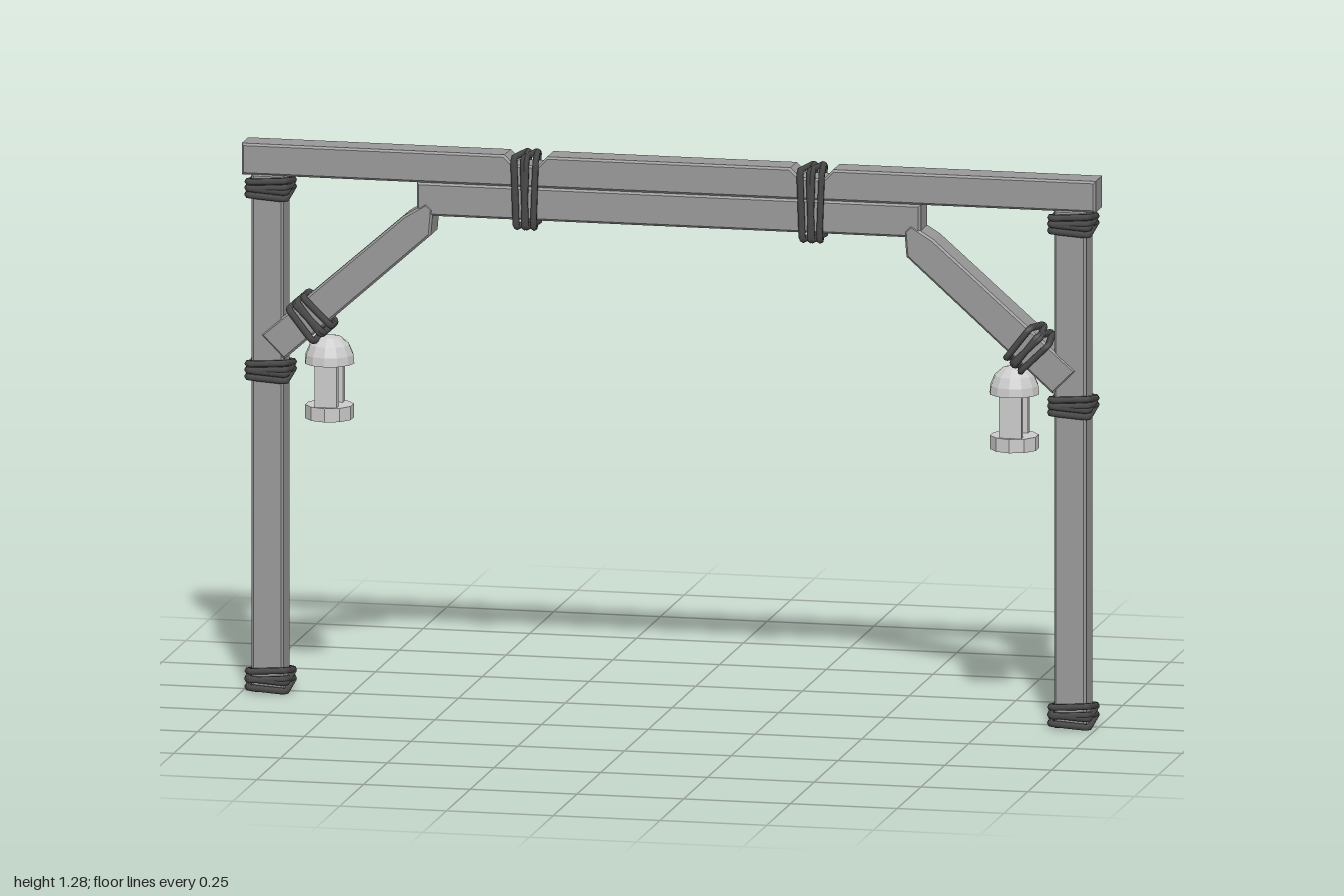
import * as THREE from 'three';

const wood = new THREE.MeshStandardMaterial({ color: 0x999999, flatShading: true });
const rope = new THREE.MeshStandardMaterial({ color: 0x4a4a4a });
const metal = new THREE.MeshStandardMaterial({ color: 0xcccccc, flatShading: true });

function add(parent, name, geometry, material) {
  const mesh = new THREE.Mesh(geometry, material);
  mesh.name = name;
  parent.add(mesh);
  return mesh;
}

// Timber with slightly chamfered edges, drawn in the xy plane and centred on z = 0
function timber(points, depth) {
  const bevel = 0.005;
  const shape = new THREE.Shape(points.map(([x, y]) => new THREE.Vector2(x, y)));
  return new THREE.ExtrudeGeometry(shape, {
    depth: depth - 2 * bevel, bevelEnabled: true, bevelSegments: 1,
    bevelSize: bevel, bevelThickness: bevel, bevelOffset: -bevel,
  }).translate(0, 0, -depth / 2 + bevel);
}

const rect = (x0, y0, x1, y1) => [[x0, y0], [x1, y0], [x1, y1], [x0, y1]];

// Loops of rope wound about the local y axis round a halfX by halfZ section
function binding(name, halfX, halfZ, height, loops = 4) {
  const group = new THREE.Group();
  group.name = name;
  const r = 0.008;
  for (let i = 0; i < loops; i++) {
    const y = (i / (loops - 1) - 0.5) * (height - 4 * r);
    const tilt = (i % 2 ? 1 : -1) * r;
    const points = [];
    const c = 0.008;
    for (const [sx, sz] of [[1, 1], [-1, 1], [-1, -1], [1, -1]]) {
      const a = [sx * (halfX + r), sz * (halfZ + r - c)];
      const b = [sx * (halfX + r - c), sz * (halfZ + r)];
      for (const [x, z] of sx * sz > 0 ? [a, b] : [b, a]) {
        points.push(new THREE.Vector3(x, y + tilt * (sz + 0.4 * sx) * 0.8, z));
      }
    }
    const path = new THREE.CatmullRomCurve3(points, true, 'catmullrom', 0.15);
    add(group, 'ropeLoop', new THREE.TubeGeometry(path, 40, r, 6, true), rope);
  }
  return group;
}

function lantern() {
  const group = new THREE.Group();
  group.name = 'lantern';
  // Domed cap, closed underneath
  const profile = [[0, 0], [0.058, 0], [0.056, 0.02], [0.046, 0.043], [0.027, 0.06], [0, 0.066]]
    .map(([x, y]) => new THREE.Vector2(x, y));
  add(group, 'lanternCap', new THREE.LatheGeometry(profile, 12), metal).position.y = 0.77;
  // Front and back uprights with an open middle
  for (const z of [-0.034, 0.034]) {
    add(group, 'lanternUpright', new THREE.BoxGeometry(0.052, 0.12, 0.02), metal).position.set(0, 0.715, z);
  }
  add(group, 'lanternBase', new THREE.CylinderGeometry(0.056, 0.056, 0.032, 10), metal).position.y = 0.657;
  return group;
}

export function createModel() {
  const model = new THREE.Group();
  model.name = 'timberGateway';

  // Top beam with a shallow notch for each binding
  const top = [[-1, 1.207], [1, 1.207], [1, 1.28]];
  for (const x of [0.335, -0.335]) {
    top.push([x + 0.05, 1.28], [x + 0.028, 1.258], [x - 0.028, 1.258], [x - 0.05, 1.28]);
  }
  top.push([-1, 1.28]);
  add(model, 'topBeam', timber(top, 0.076), wood);
  add(model, 'lowerBeam', timber(rect(-0.59, 1.13, 0.59, 1.207), 0.076), wood);

  for (const side of [-1, 1]) {
    const half = new THREE.Group();
    half.name = side < 0 ? 'rightSide' : 'leftSide';
    model.add(half);

    // Beam binding
    const beamRope = binding('beamBinding', 0.073, 0.037, 0.065);
    beamRope.rotation.z = Math.PI / 2;
    beamRope.position.set(side * 0.335, 1.195, 0);
    half.add(beamRope);

    // Post and its three bindings
    add(half, 'post', timber(rect(-0.0375, 0, 0.0375, 1.21), 0.074), wood).position.x = side * 0.94;
    for (const [y, h] of [[0.031, 0.062], [0.752, 0.055], [1.177, 0.055]]) {
      const wrap = binding('postBinding', 0.0375, 0.037, h);
      wrap.position.set(side * 0.94, y, 0);
      half.add(wrap);
    }

    // Diagonal brace with a shaped upper end
    const outline = [[0.955, 0.835], [0.62, 1.128], [0.568, 1.16], [0.552, 1.145], [0.557, 1.085], [0.9, 0.78]]
      .map(([x, y]) => [x * side, y]);
    add(half, 'brace', timber(outline, 0.08), wood);
    const braceRope = binding('braceBinding', 0.038, 0.04, 0.07);
    braceRope.position.set(side * 0.84, 0.88, 0);
    braceRope.rotation.z = side * 0.84;
    half.add(braceRope);

    const lamp = lantern();
    lamp.position.x = side * 0.802;
    half.add(lamp);
  }
  return model;
}
